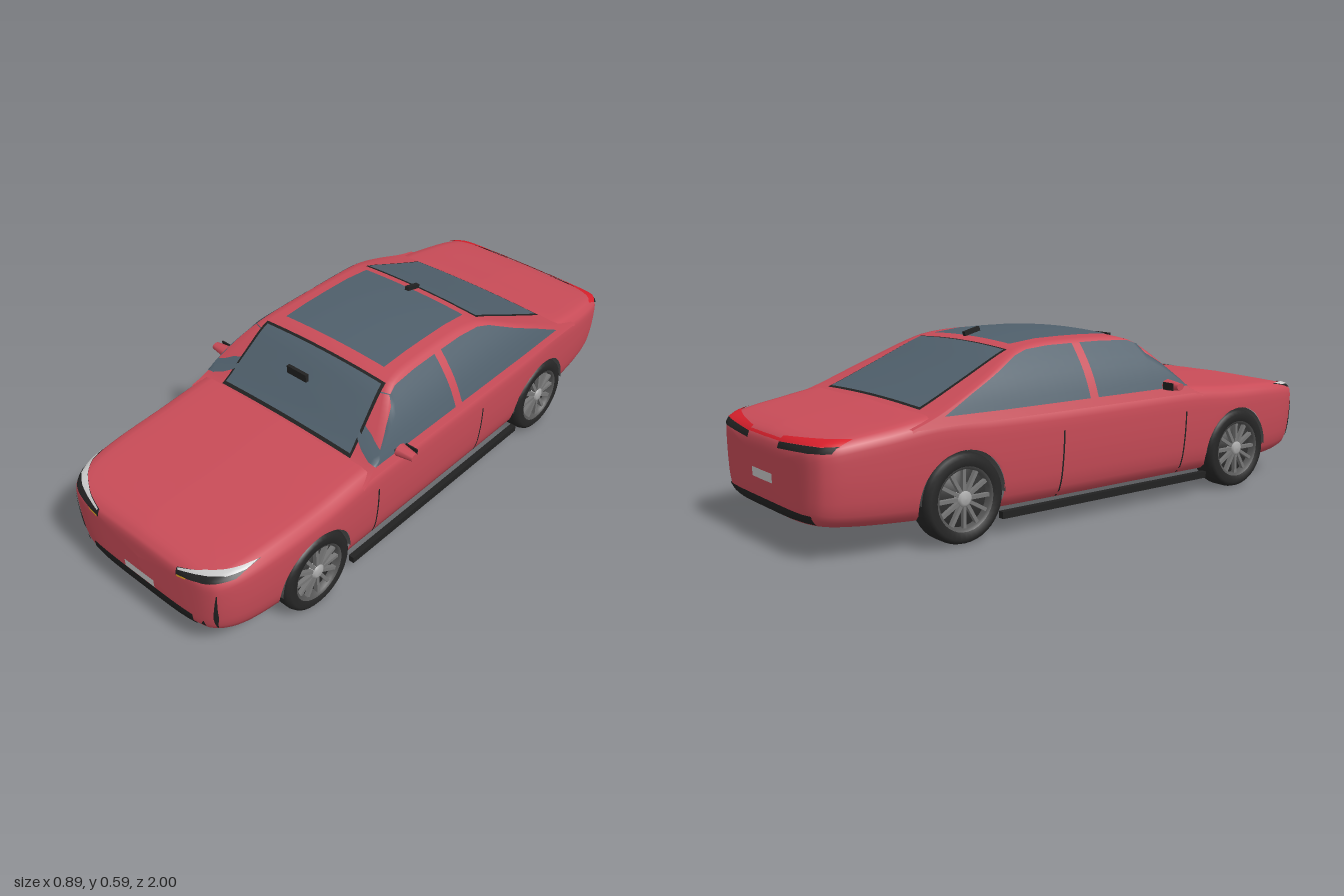
import * as THREE from 'three';

const RED = 0xc94c58, GLASS = 0x50606c, BLACK = 0x222222, LAMP = 0xd8202c;
const WHEEL_Z = [0.62, -0.54], WHEEL_Y = 0.138, ARCH_R = 0.147;
const mat = (color, side = THREE.FrontSide) => new THREE.MeshStandardMaterial({ color, side });
const V2 = (x, y) => new THREE.Vector2(x, y);

function addMesh(parent, name, geometry, material, x = 0, y = 0, z = 0) {
  const m = new THREE.Mesh(geometry, material);
  m.name = name;
  m.position.set(x, y, z);
  parent.add(m);
  return m;
}

// Surface through rows of points; keep(a, b, c, d) may drop a cell
function grid(rows, keep = () => true) {
  const n = rows[0].length, index = [];
  for (let i = 0; i < rows.length - 1; i++) for (let j = 0; j < n - 1; j++) {
    const a = i * n + j, b = a + 1, c = a + n, d = c + 1;
    if (keep(a, b, c, d)) index.push(a, c, b, b, c, d);
  }
  const g = new THREE.BufferGeometry().setFromPoints(rows.flat());
  g.setIndex(index);
  g.computeVertexNormals();
  return g;
}

const mirrorRing = half => half.concat(half.slice(0, -1).reverse().map(p => new THREE.Vector3(-p.x, p.y, p.z)));

// Lower body: one section scaled along the length, with the wheel arches cut out
function bodyGeometry() {
  const stations = [ // z, half width, bottom, top
    [0.995, 0, 0.2, 0.24], [0.992, 0.2, 0.125, 0.295], [0.98, 0.29, 0.103, 0.318], [0.95, 0.33, 0.088, 0.336],
    [0.88, 0.358, 0.073, 0.352], [0.76, 0.373, 0.063, 0.362], [0.58, 0.38, 0.056, 0.37], [0.37, 0.381, 0.055, 0.386],
    [0.1, 0.381, 0.055, 0.386], [-0.2, 0.381, 0.055, 0.386], [-0.45, 0.381, 0.057, 0.392], [-0.62, 0.377, 0.06, 0.4],
    [-0.78, 0.367, 0.07, 0.378], [-0.89, 0.35, 0.08, 0.361], [-0.95, 0.328, 0.09, 0.346], [-0.98, 0.29, 0.105, 0.328],
    [-0.992, 0.21, 0.125, 0.3], [-0.995, 0, 0.2, 0.24]];
  const curve = pick => new THREE.CatmullRomCurve3(stations.map(pick), false, 'catmullrom', 0.5);
  const low = curve(s => new THREE.Vector3(s[0], s[1], s[2]));
  const high = curve(s => new THREE.Vector3(s[0], s[3], 0));
  const section = new THREE.SplineCurve([V2(0, 0), V2(0.5, 0.005), V2(0.85, 0.07), V2(0.945, 0.2), V2(0.985, 0.45),
    V2(1, 0.7), V2(0.998, 0.87), V2(0.96, 0.955), V2(0.8, 0.98), V2(0, 1)]).getSpacedPoints(38);
  const rows = [];
  for (let i = 0; i <= 170; i++) {
    const { x: z, y: w, z: yb } = low.getPoint(i / 170), yt = high.getPoint(i / 170).y;
    rows.push(mirrorRing(section.map(p => new THREE.Vector3(p.x * w, yb + p.y * (yt - yb), z))));
  }
  const inside = rows.flat().map(p => {
    const zc = WHEEL_Z.find(c => Math.hypot(p.z - c, p.y - WHEEL_Y) < ARCH_R);
    if (zc === undefined || Math.abs(p.x) < 0.25) return false;
    // Slide points onto the rim of the arch
    const dz = p.z - zc, dy = p.y - WHEEL_Y;
    if (dy > 0) {
      const k = ARCH_R / Math.hypot(dz, dy);
      p.z = zc + dz * k;
      p.y = WHEEL_Y + dy * k;
    } else if (Math.abs(p.x) > 0.28) p.z = zc + Math.sign(dz) * Math.sqrt(ARCH_R ** 2 - dy ** 2);
    return true;
  });
  return grid(rows, (...c) => !c.every(k => inside[k]));
}

// Cabin: sides lean inwards, the roofline sets the height at each z
function cabinGeometry() {
  const roof = new THREE.SplineCurve([V2(0.43, 0.365), V2(0.37, 0.394), V2(0.28, 0.476), V2(0.2, 0.546), V2(0.14, 0.567),
    V2(0.04, 0.573), V2(-0.14, 0.573), V2(-0.24, 0.565), V2(-0.31, 0.546), V2(-0.46, 0.478), V2(-0.62, 0.408), V2(-0.72, 0.375)]);
  const sideX = y => {
    const u = (y - 0.385) / 0.17;
    return 0.372 - 0.1 * u + 0.012 * Math.sin(Math.PI * u);
  };
  const rows = roof.getSpacedPoints(70).map(({ x: z, y: h }) => {
    const half = [], base = Math.min(0.36, h - 0.02), edge = h - 0.012;
    for (let j = 0; j <= 14; j++) {
      const y = base + (edge - base) * j / 14;
      half.push(new THREE.Vector3(sideX(y), y, z));
    }
    for (let j = 1; j <= 12; j++) {
      const t = 1 - j / 12;
      half.push(new THREE.Vector3(sideX(edge) * t, h - 0.012 * t * t, z));
    }
    return mirrorRing(half);
  });
  return grid(rows);
}

// Point at fraction u along a list of [a, b] pairs
function along(list, u) {
  const f = u * (list.length - 1), i = Math.min(Math.floor(f), list.length - 2), t = f - i;
  return [0, 1].map(k => list[i][k] * (1 - t) + list[i + 1][k] * t);
}

// Wheel with its axle on x, outer face towards +x
function makeWheel() {
  const wheel = new THREE.Group();
  wheel.name = 'wheel';
  const turned = pts => new THREE.LatheGeometry(pts.map(p => V2(...p)), 40).rotateZ(-Math.PI / 2);
  addMesh(wheel, 'tyre', turned([[0.094, -0.046], [0.122, -0.047], [0.133, -0.04], [0.138, -0.025], [0.138, 0.025],
    [0.133, 0.04], [0.122, 0.047], [0.098, 0.045], [0.093, 0.035]]), mat(0x262626, THREE.DoubleSide));
  addMesh(wheel, 'rim', turned([[0.087, 0.02], [0.089, 0.04], [0.098, 0.045]]), mat(0x555555, THREE.DoubleSide));
  addMesh(wheel, 'rimDisc', turned([[0, -0.04], [0.094, -0.04], [0.094, 0.02], [0, 0.02]]), mat(0x333333, THREE.DoubleSide));
  for (let i = 0; i < 12; i++) {
    const g = new THREE.BoxGeometry(0.014, 0.07, 0.011).translate(0.032, 0.055, 0).rotateX(i * Math.PI / 6);
    addMesh(wheel, 'spoke', g, mat(0x777777));
  }
  addMesh(wheel, 'hub', turned([[0.026, 0.02], [0.024, 0.04], [0.015, 0.045], [0, 0.046]]), mat(0xaaaaaa, THREE.DoubleSide));
  return wheel;
}

export function createModel() {
  const car = new THREE.Group();
  car.name = 'car';
  const shell = [addMesh(car, 'body', bodyGeometry(), mat(RED)), addMesh(car, 'cabin', cabinGeometry(), mat(RED))];

  // Panel between two edges, laid onto the shell along an axis
  const ray = new THREE.Raycaster();
  function panel(name, color, edgeA, edgeB, axis, sign, off = 0.003, n = 14, m = 4) {
    const land = (a, b) => {
      for (let k = 0; k < 40; k++) {
        const p = axis === 'x' ? [sign * 2, b, a] : axis === 'y' ? [a, sign * 2, b] : [a, b, sign * 2];
        const d = new THREE.Vector3();
        d[axis] = -sign;
        ray.set(new THREE.Vector3(...p), d);
        const hit = ray.intersectObjects(shell)[0];
        if (hit) return hit.point.clone().addScaledVector(hit.face.normal, off);
        a *= 0.99;
        b += (0.22 - b) * 0.03;
      }
      return new THREE.Vector3(a, b, 0);
    };
    const rows = [];
    for (let i = 0; i <= n; i++) {
      const p = along(edgeA, i / n), q = along(edgeB, i / n), row = [];
      for (let j = 0; j <= m; j++) row.push(land(...along([p, q], j / m)));
      rows.push(row);
    }
    addMesh(car, name, grid(rows), mat(color, THREE.DoubleSide));
  }
  const rect = (name, color, x, y0, y1, axis, sign, off) =>
    panel(name, color, [[-x, y0], [x, y0]], [[-x, y1], [x, y1]], axis, sign, off);

  // Windscreen, rear window and glass roof, each screen over a dark frame
  panel('windscreenFrame', BLACK, [[-0.285, 0.378], [0.285, 0.378]], [[-0.258, 0.183], [0.258, 0.183]], 'y', 1, 0.002, 14, 10);
  panel('windscreen', GLASS, [[-0.276, 0.368], [0.276, 0.368]], [[-0.248, 0.192], [0.248, 0.192]], 'y', 1, 0.004, 14, 10);
  panel('rearWindowFrame', BLACK, [[-0.245, -0.293], [0.245, -0.293]], [[-0.278, -0.632], [0.278, -0.632]], 'y', 1, 0.002, 14, 10);
  panel('rearWindow', GLASS, [[-0.238, -0.3], [0.238, -0.3]], [[-0.268, -0.624], [0.268, -0.624]], 'y', 1, 0.004, 14, 10);
  rect('glassRoof', GLASS, 0.213, -0.26, 0.14, 'y', 1, 0.003);

  // Front and rear fittings
  rect('lowerGrille', BLACK, 0.225, 0.102, 0.155, 'z', 1);
  rect('frontPlate', 0xcccccc, 0.066, 0.16, 0.188, 'z', 1, 0.005);
  rect('rearLightBar', LAMP, 0.1, 0.321, 0.328, 'z', -1, 0.005);
  rect('rearPlate', 0xcccccc, 0.066, 0.195, 0.223, 'z', -1, 0.005);
  rect('rearBumperStrip', BLACK, 0.27, 0.112, 0.138, 'z', -1);

  for (const s of [1, -1]) {
    const fx = pts => pts.map(([x, y]) => [x * s, y]);
    // Lamps and bumper vents
    panel('headlight', BLACK, fx([[0.35, 0.345], [0.26, 0.33], [0.175, 0.311]]), fx([[0.343, 0.324], [0.26, 0.307], [0.175, 0.288]]), 'z', s * s);
    panel('lightStrip', 0xf2f2f2, fx([[0.348, 0.345], [0.26, 0.33], [0.18, 0.311]]), fx([[0.346, 0.336], [0.26, 0.322], [0.18, 0.306]]), 'z', 1, 0.005);
    panel('turnSignal', 0xd9a020, fx([[0.22, 0.3], [0.18, 0.293]]), fx([[0.215, 0.295], [0.18, 0.287]]), 'z', 1, 0.005);
    panel('sideVent', BLACK, fx([[0.316, 0.277], [0.311, 0.18], [0.301, 0.132]]), fx([[0.314, 0.277], [0.298, 0.18], [0.299, 0.132]]), 'z', 1);
    panel('smallVent', BLACK, fx([[0.265, 0.152], [0.27, 0.13]]), fx([[0.264, 0.152], [0.254, 0.134]]), 'z', 1);
    panel('tailLight', LAMP, fx([[0.335, 0.35], [0.1, 0.334]]), fx([[0.335, 0.334], [0.1, 0.32]]), 'z', -1, 0.005);
    panel('tailLightTrim', BLACK, fx([[0.335, 0.334], [0.1, 0.32]]), fx([[0.33, 0.318], [0.1, 0.303]]), 'z', -1, 0.004);

    // Side windows and door gaps
    panel('frontSideWindow', GLASS, [[0.362, 0.39], [0.32, 0.432], [0.27, 0.484], [0.22, 0.525], [0.17, 0.543], [0.07, 0.549], [-0.03, 0.55]],
      [[0.364, 0.386], [0.32, 0.386], [0.27, 0.386], [0.22, 0.386], [0.17, 0.386], [0.07, 0.386], [-0.03, 0.386]], 'x', s, 0.003, 18, 6);
    panel('rearSideWindow', GLASS, [[-0.063, 0.55], [-0.16, 0.55], [-0.25, 0.544], [-0.3, 0.53], [-0.4, 0.483], [-0.5, 0.44], [-0.605, 0.39]],
      [[-0.063, 0.386], [-0.16, 0.386], [-0.25, 0.386], [-0.3, 0.386], [-0.4, 0.386], [-0.5, 0.387], [-0.605, 0.388]], 'x', s, 0.003, 18, 6);
    for (const z of [0.355, -0.175])
      panel('doorGap', BLACK, [[z - 0.003, 0.085], [z - 0.003, 0.3]], [[z + 0.003, 0.085], [z + 0.003, 0.3]], 'x', s, 0.002, 10, 1);
    addMesh(car, 'sill', new THREE.BoxGeometry(0.02, 0.022, 0.87), mat(BLACK), s * 0.364, 0.066, 0.03);

    // Door mirror: faceted pod on a short arm
    const pod = new THREE.CylinderGeometry(0.014, 0.023, 0.06, 8).rotateZ(-s * Math.PI / 2);
    addMesh(car, 'mirrorPod', pod, mat(RED), s * 0.413, 0.4, 0.262).scale.set(1, 0.85, 1.1);
    addMesh(car, 'mirrorGlass', new THREE.BoxGeometry(0.045, 0.024, 0.004), mat(BLACK), s * 0.411, 0.4, 0.238);
    addMesh(car, 'mirrorArm', new THREE.BoxGeometry(0.04, 0.012, 0.02), mat(BLACK), s * 0.375, 0.392, 0.262);

    // Wheels and wheel housings
    for (const z of WHEEL_Z) {
      const wheel = makeWheel();
      wheel.position.set(s * 0.331, WHEEL_Y, z);
      wheel.rotation.y = s > 0 ? 0 : Math.PI;
      car.add(wheel);
      const liner = new THREE.CylinderGeometry(ARCH_R, ARCH_R, 0.12, 32, 1, true, -Math.PI / 2, Math.PI).rotateX(-Math.PI / 2).rotateY(Math.PI / 2);
      addMesh(car, 'archLiner', liner, mat(0x555555, THREE.DoubleSide), s * 0.31, WHEEL_Y, z);
      const wall = new THREE.CircleGeometry(0.134, 32, -0.6, Math.PI + 1.2).rotateY(Math.PI / 2);
      addMesh(car, 'archWall', wall, mat(0x555555, THREE.DoubleSide), s * 0.25, WHEEL_Y, z);
    }
  }

  // Roof aerial and rear-view mirror
  addMesh(car, 'aerial', new THREE.BoxGeometry(0.015, 0.014, 0.06), mat(BLACK), 0, 0.579, -0.255).rotation.x = -0.25;
  addMesh(car, 'rearViewMirror', new THREE.BoxGeometry(0.083, 0.027, 0.012), mat(BLACK), 0, 0.526, 0.308);
  return car;
}
